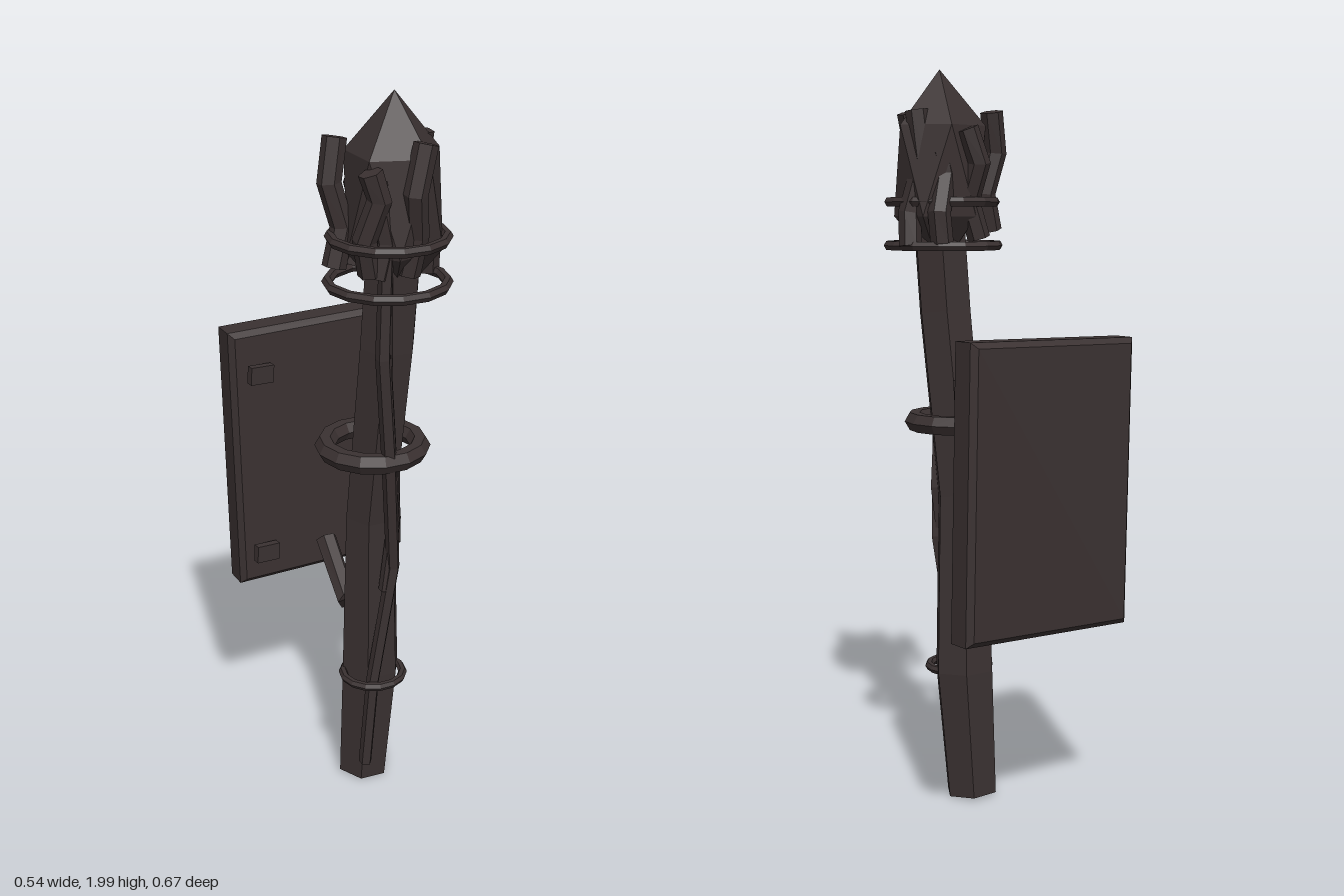
import * as THREE from 'three';

const wood = new THREE.MeshStandardMaterial({ color: 0x3a3131, flatShading: true });
wood.name = 'charredWood';

// Faceted rod through [x, y, z, radius] points, capped at both ends.
function rodGeometry(points, sides, turn = 0) {
  const centres = points.map((p) => new THREE.Vector3(p[0], p[1], p[2]));
  const pos = [], index = [];
  const last = points.length - 1;
  points.forEach((p, i) => {
    const t = centres[Math.min(i + 1, last)].clone().sub(centres[Math.max(i - 1, 0)]).normalize();
    const w = new THREE.Vector3(1, 0, 0).cross(t).normalize();
    const u = t.clone().cross(w);
    for (let k = 0; k < sides; k++) {
      const a = turn + (k / sides) * Math.PI * 2;
      const v = centres[i].clone().addScaledVector(u, Math.cos(a) * p[3]).addScaledVector(w, Math.sin(a) * p[3]);
      pos.push(v.x, v.y, v.z);
    }
  });
  for (let i = 0; i < last; i++) {
    for (let k = 0; k < sides; k++) {
      const a = i * sides + k, b = i * sides + ((k + 1) % sides);
      index.push(a, b + sides, b, a, a + sides, b + sides);
    }
  }
  for (let k = 1; k < sides - 1; k++) {
    const e = last * sides;
    index.push(0, k, k + 1, e, e + k + 1, e + k);
  }
  const g = new THREE.BufferGeometry();
  g.setAttribute('position', new THREE.Float32BufferAttribute(pos, 3));
  g.setIndex(index);
  const flat = g.toNonIndexed();
  flat.computeVertexNormals();
  return flat;
}

export function createModel() {
  const group = new THREE.Group();
  const add = (name, geometry, x = 0, y = 0, z = 0) => {
    const mesh = new THREE.Mesh(geometry, wood);
    mesh.name = name;
    mesh.position.set(x, y, z);
    group.add(mesh);
    return mesh;
  };

  // Crooked shaft leaning forward
  add('shaft', rodGeometry([
    [0, 0.01, 0.038, 0.074], [0.014, 0.36, 0.055, 0.086], [0.0, 0.85, 0.083, 0.073],
    [0.015, 1.35, 0.143, 0.077], [0.022, 1.6, 0.162, 0.077],
  ], 6));

  // Two thin vines crossing over the front of the shaft
  add('longVine', rodGeometry([
    [-0.04, 0.09, 0.135, 0.019], [-0.025, 0.36, 0.15, 0.019], [0.025, 0.72, 0.17, 0.019],
    [-0.01, 1.05, 0.212, 0.021], [-0.04, 1.35, 0.232, 0.021], [-0.035, 1.62, 0.235, 0.019],
  ], 5));
  add('shortVine', rodGeometry([
    [0.005, 0.65, 0.162, 0.018], [0.03, 0.86, 0.166, 0.019], [0.0, 1.08, 0.193, 0.019],
    [-0.025, 1.3, 0.215, 0.019], [-0.03, 1.55, 0.225, 0.018],
  ], 5));

  // Binding rings: [y, z, outer radius, tube radius]
  [[0.36, 0.1, 0.096, 0.012], [1.054, 0.092, 0.154, 0.028],
    [1.53, 0.172, 0.165, 0.014], [1.648, 0.177, 0.16, 0.014]].forEach(([y, z, r, t]) => {
    const ring = new THREE.TorusGeometry(r - t, t, 6, 14);
    ring.rotateX(Math.PI / 2);
    add('bindingRing', ring, 0, y, z);
  });

  // Pointed core of the head: a stretched twenty-sided solid with a vertex on top
  const core = new THREE.IcosahedronGeometry(1, 0);
  core.rotateZ(Math.atan(2 / (1 + Math.sqrt(5))));
  core.rotateY(Math.PI);
  core.scale(0.141, 0.27, 0.136);
  add('headCore', core, 0.025, 1.73, 0.152);

  // Kindling around the head: bottom, waist, shoulder and tip
  const r = 0.031;
  [
    [[-0.125, 1.57, 0.125], [-0.1, 1.67, 0.12], [-0.13, 1.78, 0.11], [-0.11, 1.89, 0.1]],
    [[-0.04, 1.55, 0.06], [-0.01, 1.65, 0.065], [-0.02, 1.75, 0.03], [0.012, 1.84, 0.04]],
    [[0.135, 1.53, 0.13], [0.13, 1.62, 0.14], [0.1, 1.75, 0.12], [0.113, 1.89, 0.13]],
    [[0.03, 1.56, 0.225], [0.045, 1.66, 0.24], [0.025, 1.77, 0.268], [0.055, 1.89, 0.262]],
    [[-0.07, 1.57, 0.215], [-0.09, 1.66, 0.225], [-0.06, 1.76, 0.245], [-0.083, 1.83, 0.242]],
    [[-0.05, 1.56, 0.22], [-0.03, 1.65, 0.225], [-0.05, 1.74, 0.225], [-0.045, 1.8, 0.215]],
    [[0.08, 1.54, 0.06], [0.09, 1.62, 0.058], [0.06, 1.72, 0.075], [0.07, 1.78, 0.08]],
  ].forEach((path) => {
    add('kindling', rodGeometry(path.map((q) => [...q, r]), 6, Math.PI / 6));
  });

  // Back board with chamfered edges, hung slightly askew
  const w = 0.262, h = 0.383, d = 0.0465, b = 0.015;
  const shape = new THREE.Shape();
  shape.moveTo(-w + b, -h + b);
  shape.lineTo(w - b, -h + b);
  shape.lineTo(w - b, h - b);
  shape.lineTo(-w + b, h - b);
  shape.closePath();
  const boardGeometry = new THREE.ExtrudeGeometry(shape, {
    depth: (d - b) * 2, bevelEnabled: true, bevelSize: b, bevelThickness: b, bevelSegments: 1,
  });
  boardGeometry.translate(0, 0, -(d - b));
  const board = add('backBoard', boardGeometry, 0, 0.919, -0.285);
  board.rotation.set(0, 0.017, 0.02);

  // Small pegs in front of the board's corners
  [[-0.19, 1.18], [0.187, 1.18], [-0.185, 0.635], [0.19, 0.63]].forEach(([x, y]) => {
    const peg = add('peg', new THREE.BoxGeometry(0.07, 0.05, 0.022), x, y, -0.21);
    peg.rotation.set(0, 0.12, -0.06);
  });

  // Bent bracket arm from the shaft back toward the board
  add('bracketArm', rodGeometry([
    [0, 0.58, 0.04, 0.028], [0, 0.505, -0.065, 0.029], [0, 0.64, -0.208, 0.031],
  ], 6));

  return group;
}
